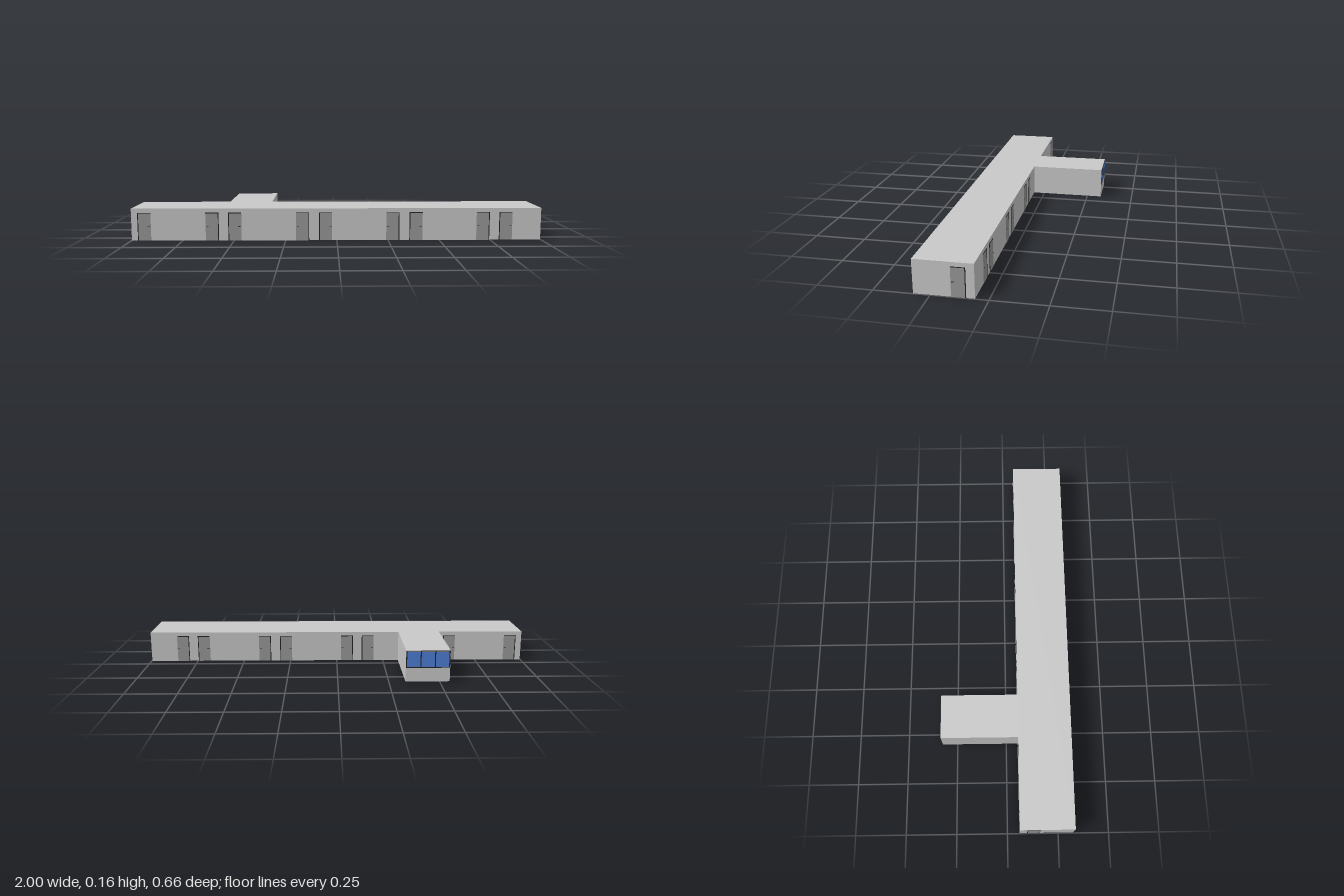
import * as THREE from 'three';

const paint = (name, color) => {
  const m = new THREE.MeshStandardMaterial({ color });
  m.name = name;
  return m;
};

export function createModel() {
  const root = new THREE.Group();
  root.name = 'corridorWithRoom';
  const wallMat = paint('light grey wall', 0xc9c9c9);
  const doorMat = paint('mid grey door', 0x999999);
  const darkMat = paint('dark frame', 0x222222);
  const glassMat = paint('blue glass', 0x4f80d6);
  const furnitureMat = paint('furniture grey', 0x666666);

  // Box given by its minimum and maximum corners
  const block = (parent, name, mat, a, b) => {
    const g = new THREE.BoxGeometry(b[0] - a[0], b[1] - a[1], b[2] - a[2]);
    g.translate((a[0] + b[0]) / 2, (a[1] + b[1]) / 2, (a[2] + b[2]) / 2);
    const m = new THREE.Mesh(g, mat);
    m.name = name;
    parent.add(m);
    return m;
  };

  const H = 0.157, T = 0.005, C = H - T;
  const X = 0.997, ZF = 0.324, ZB = 0.059;
  const RL = -0.55, RR = -0.332, RZ = -0.326;

  // Roof slabs; the building has no floor
  block(root, 'corridorRoof', wallMat, [-X, C, ZB], [X, H, ZF]);
  block(root, 'roomRoof', wallMat, [RL, C, RZ], [RR, H, ZB]);

  // Corridor walls
  block(root, 'frontWall', wallMat, [-X, 0, ZF - T], [X, C, ZF]);
  block(root, 'backWall', wallMat, [-X, 0, ZB], [X, C, ZB + T]);
  block(root, 'rightEndWall', wallMat, [X - T, 0, ZB + T], [X, C, ZF - T]);
  block(root, 'leftEndWall', wallMat, [-X, 0, ZB + T], [-X + T, C, ZF - T]);

  // Side room walls
  block(root, 'roomSideWall', wallMat, [RL, 0, RZ], [RL + T, C, ZB]);
  block(root, 'roomSideWall', wallMat, [RR - T, 0, RZ], [RR, C, ZB]);
  block(root, 'roomEndWall', wallMat, [RL + T, 0, RZ], [RR - T, C, RZ + T]);

  // Three window panes with dark bars, outside and inside
  const win = new THREE.Group();
  win.name = 'roomWindow';
  root.add(win);
  const y0 = 0.072, y1 = 0.154, wl = RL + 0.001, wr = RR - 0.001;
  block(win, 'glass', glassMat, [wl + T, y0, RZ - 0.001], [wr - T, y1 - 0.004, RZ + T + 0.001]);
  for (let i = 0; i < 4; i++) {
    const x = wl + 0.0025 + (wr - wl - 0.005) * i / 3;
    block(win, 'windowBar', darkMat, [x - 0.0025, y0, RZ - 0.002], [x + 0.0025, y1, RZ + T + 0.002]);
  }
  for (const y of [y0, y1])
    block(win, 'windowRail', darkMat, [wl, y - 0.002, RZ - 0.002], [wr, y + 0.002, RZ + T + 0.002]);

  // Door through a wall: leaf, dark frame on the hinge side and top, lever handles
  function door(x, z, turn, side) {
    const d = new THREE.Group();
    d.name = 'door';
    const w = 0.031, h = 0.134, t = 0.0035;
    block(d, 'doorLeaf', doorMat, [-w, 0, -t], [w, h, t]);
    block(d, 'doorFrameTop', darkMat, [-w, h, -t - 0.0005], [w, h + 0.003, t + 0.0005]);
    const fx = side * w;
    block(d, 'doorFrameSide', darkMat, [fx - 0.002, 0, -t - 0.0005], [fx + 0.002, h + 0.003, t + 0.0005]);
    const hx = -side * 0.022;
    block(d, 'doorHandle', darkMat, [hx - 0.005, 0.068, -0.0065], [hx + 0.005, 0.0705, -0.005]);
    block(d, 'doorHandle', darkMat, [hx - 0.005, 0.068, 0.005], [hx + 0.005, 0.0705, 0.0065]);
    block(d, 'handleSpindle', darkMat, [hx - 0.001, 0.068, -0.0055], [hx + 0.001, 0.07, 0.0055]);
    d.position.set(x, 0, z);
    d.rotation.y = turn;
    root.add(d);
  }
  const doorX = [-0.934, -0.607, -0.495, -0.168, -0.054, 0.272, 0.387, 0.713, 0.826];
  doorX.forEach((x, i) => {
    const side = i % 2 ? 1 : -1;
    door(x, ZF - T / 2, 0, side);
    door(x, ZB + T / 2, Math.PI, -side);
  });
  door(X - T / 2, 0.129, Math.PI / 2, 1);
  door(-X + T / 2, 0.129, -Math.PI / 2, -1);

  // Desk with four dark legs
  function desk(x, z, w, d) {
    const g = new THREE.Group();
    g.name = 'desk';
    block(g, 'deskTop', furnitureMat, [-w / 2, 0.042, -d / 2], [w / 2, 0.045, d / 2]);
    for (const sx of [-1, 1]) for (const sz of [-1, 1]) {
      const lx = sx * (w / 2 - 0.003), lz = sz * (d / 2 - 0.003);
      block(g, 'deskLeg', darkMat, [lx - 0.0015, 0, lz - 0.0015], [lx + 0.0015, 0.042, lz + 0.0015]);
    }
    g.position.set(x, 0, z);
    root.add(g);
  }

  // Swivel chair with a five-pointed base
  function chair(x, z, turn) {
    const g = new THREE.Group();
    g.name = 'chair';
    block(g, 'chairSeat', furnitureMat, [-0.013, 0.026, -0.013], [0.013, 0.03, 0.013]);
    block(g, 'chairBack', furnitureMat, [-0.012, 0.034, 0.011], [0.012, 0.056, 0.014]);
    block(g, 'chairStem', darkMat, [-0.0015, 0.003, -0.0015], [0.0015, 0.026, 0.0015]);
    for (let i = 0; i < 5; i++) {
      const foot = block(g, 'chairFoot', darkMat, [0, 0, -0.001], [0.013, 0.003, 0.001]);
      foot.rotation.y = i * Math.PI * 2 / 5;
    }
    g.position.set(x, 0, z);
    g.rotation.y = turn;
    root.add(g);
  }

  // Desks and chairs along the right wall, one desk below the window
  for (const z of [-0.2, -0.1, 0]) {
    desk(RR - 0.03, z, 0.044, 0.085);
    chair(RR - 0.07, z, -Math.PI / 2);
  }
  desk(-0.441, RZ + 0.034, 0.15, 0.044);
  chair(-0.47, RZ + 0.078, 0);

  // Low cabinet against the left wall
  block(root, 'cabinet', furnitureMat, [RL + 0.007, 0, -0.2], [RL + 0.03, 0.06, -0.12]);

  return root;
}
